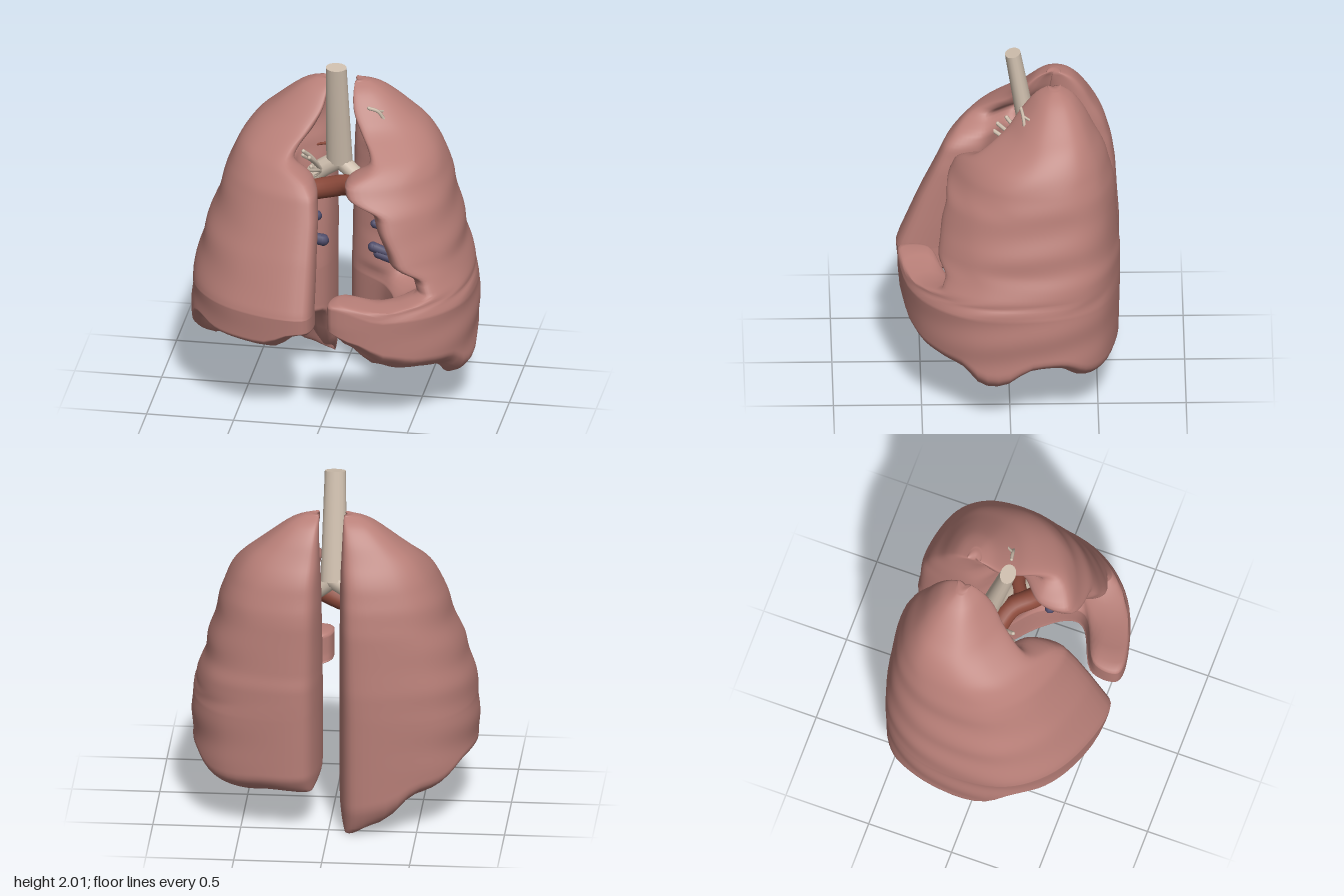
import * as THREE from 'three';
import { mergeVertices } from 'three/addons/utils/BufferGeometryUtils.js';

const V = (x, y, z) => new THREE.Vector3(x, y, z);
const { lerp, smoothstep, degToRad } = THREE.MathUtils;
const MEDIAL = 0.072;

// Cross-sections: [y, side x, back z, front z, front edge angle, edge depth, hollow depth, hilum x]
const apexSections = [
  [1.47, 0.575, -0.545, 0.23, 69, 0.8, 0.7, 0.22],
  [1.53, 0.53, -0.52, 0.13, 70, 0.75, 0.7, 0.19],
  [1.6, 0.47, -0.48, 0.01, 78, 0.65, 0.5, 0.14],
  [1.7, 0.35, -0.43, -0.08, 86, 0.65, 0.3, 0.1],
  [1.77, 0.26, -0.38, -0.14, 88, 0.7, 0.25, 0.085],
  [1.805, 0.205, -0.34, -0.18, 88, 0.7, 0.25, 0.08],
  [1.82, 0.16, -0.3, -0.22, 88, 0.7, 0.25, 0.08],
];
const leftSections = [
  [0, 0.77, -0.57, 0.57, 90, 0.76, 0.8, 0.26],
  [0.14, 0.8, -0.61, 0.61, 90, 0.75, 0.8, 0.28],
  [0.7, 0.8, -0.62, 0.62, 90, 0.76, 0.8, 0.3],
  [0.725, 0.79, -0.62, 0.61, 86, 0.77, 0.8, 0.32],
  [0.77, 0.78, -0.62, 0.58, 42, 0.86, 0.8, 0.33],
  [0.88, 0.75, -0.62, 0.52, 44, 0.86, 0.75, 0.33],
  [0.94, 0.73, -0.61, 0.49, 57, 0.78, 0.75, 0.33],
  [1.04, 0.71, -0.605, 0.46, 60, 0.78, 0.75, 0.32],
  [1.14, 0.68, -0.6, 0.43, 64, 0.75, 0.7, 0.3],
  [1.25, 0.65, -0.595, 0.39, 66, 0.7, 0.65, 0.27],
  [1.32, 0.63, -0.585, 0.34, 84, 0.6, 0.65, 0.25],
  [1.41, 0.605, -0.56, 0.29, 86, 0.6, 0.65, 0.24],
  ...apexSections,
];
const rightSections = [
  [0, 0.78, -0.57, 0.57, 90, 0.55, 0.65, 0.2],
  [0.14, 0.815, -0.61, 0.61, 90, 0.52, 0.65, 0.22],
  [0.7, 0.81, -0.62, 0.62, 90, 0.52, 0.6, 0.23],
  [0.85, 0.78, -0.62, 0.56, 90, 0.52, 0.6, 0.23],
  [1.0, 0.74, -0.61, 0.5, 90, 0.54, 0.6, 0.23],
  [1.2, 0.67, -0.6, 0.41, 90, 0.56, 0.6, 0.23],
  [1.34, 0.63, -0.58, 0.35, 89, 0.6, 0.65, 0.23],
  [1.41, 0.605, -0.56, 0.29, 84, 0.65, 0.65, 0.23],
  ...apexSections,
];
// Lower rim heights: [distance from middle, z, y]
const leftRim = [
  [0.06, 0.55, 0.64], [0.2, 0.55, 0.53], [0.35, 0.5, 0.4], [0.5, 0.4, 0.35], [0.65, 0.3, 0.34],
  [0.75, 0.1, 0.21], [0.75, -0.2, 0.34], [0.55, -0.45, 0.21], [0.2, -0.55, 0.23], [0.07, -0.35, 0.24],
  [0.15, -0.1, 0.4], [0.4, 0.25, 0.5], [0.1, 0.42, 0.64],
];
const rightRim = [
  [0.1, 0.55, 0.59], [0.35, 0.52, 0.48], [0.55, 0.4, 0.48], [0.68, 0.25, 0.54], [0.78, 0.05, 0.32],
  [0.7, -0.25, 0.36], [0.5, -0.45, 0.22], [0.3, -0.5, 0.04], [0.16, -0.48, -0.05], [0.08, -0.35, 0.08],
  [0.1, -0.1, 0.4], [0.2, 0.1, 0.52],
];

function rimHeight(rim, x, z) {
  let sum = 0, total = 0;
  for (const [px, pz, py] of rim) {
    const w = ((px - x) ** 2 + (pz - z) ** 2 + 0.011) ** -1.8;
    sum += w * py;
    total += w;
  }
  return sum / total;
}

function sectionAt(list, y) {
  const at = (v) => {
    const i = Math.max(1, list.findIndex((s) => s[0] >= v));
    const a = list[i - 1], b = list[i];
    return a.map((n, k) => lerp(n, b[k], (v - a[0]) / (b[0] - a[0])));
  };
  const d = Math.min(0.02, y, 1.82 - y);
  const rows = [at(Math.max(0, y - d)), at(y), at(Math.min(1.82, y + d))];
  return rows[1].map((_, k) => (rows[0][k] + rows[1][k] + rows[2][k]) / 3);
}

// Crescent outline: squarish back, round outer wall, front edge, hollow inner wall
function outline([, side, back, front, end, depth, hollow, hilum], count) {
  const width = side - MEDIAL, r = (front - back) / 2, zc = (front + back) / 2;
  const arc = (deg, k) => {
    const power = deg < 0 ? 0.65 : 0.92, c = Math.cos(degToRad(deg)), s = Math.sin(degToRad(deg));
    return V(MEDIAL + width * Math.abs(c) ** power * k, 0, zc + r * Math.sign(s) * Math.abs(s) ** power * k);
  };
  const pts = [];
  for (let i = 0; i < 6; i++) pts.push(arc(lerp(-88.3, end, i / 5), 1));
  pts.push(arc(end, depth), arc(end - 40, depth * hollow));
  pts.push(V(hilum, 0, back + r * 1.1), V(MEDIAL, 0, back + r * 0.72), V(MEDIAL, 0, back + r * 0.18));
  const curve = new THREE.CatmullRomCurve3(pts, true);
  return Array.from({ length: count }, (_, i) => curve.getPoint(((i + 0.5) / count - 0.5 / 11 + 1) % 1));
}

function lungGeometry(sections, rim, side) {
  const N = 88, ROWS = 110, CAP = 8, ROUND = 0.12, rings = [];
  const ringAt = (y) => {
    const ring = outline(sectionAt(sections, y), N).map((q) => {
      q.y = y < 0.7 ? lerp(rimHeight(rim, q.x, q.z), 0.7, y / 0.7) : y;
      // The left lung's front tongue curls upward
      if (side > 0) {
        q.y += 0.1 * (1 - smoothstep(q.x, 0.08, 0.38)) * smoothstep(q.z, 0.25, 0.45) * Math.exp(-(((y - 0.73) / 0.14) ** 2));
      }
      q.x *= 1 + 0.006 * Math.sin(q.y * 26 + q.z * 4) * Math.min(1, q.x * 2);
      return q;
    });
    // Round the lower rim inward
    const u = Math.max(0, 1 - y / ROUND), f = 0.4 * (1 - Math.sqrt(1 - u * u));
    return ring.map((p, i) => {
      const o = ring[N - 1 - i];
      return V(lerp(p.x, (p.x + o.x) / 2, f), p.y, lerp(p.z, (p.z + o.z) / 2, f));
    });
  };
  // Close a ring towards its own middle line
  const capRing = (ring, f, lift) => ring.map((p, i) => {
    const mid = p.clone().add(ring[N - 1 - i]).multiplyScalar(0.5);
    const q = p.clone().lerp(mid, f);
    q.y = lerp(p.y, mid.y + lift, f * f * (3 - 2 * f));
    return q;
  });
  const base = ringAt(0), top = ringAt(1.82);
  for (let i = CAP; i > 0; i--) rings.push(capRing(base, i / CAP, 0.1));
  for (let i = 0; i <= ROWS; i++) rings.push(ringAt(1.82 * i / ROWS));
  for (let i = 1; i <= 4; i++) rings.push(capRing(top, i / 4, 0.006));

  const pos = [], index = [];
  rings.forEach((ring) => ring.forEach((p) => pos.push(p.x * side, p.y, p.z)));
  for (let r = 0; r < rings.length - 1; r++) {
    for (let i = 0; i < N; i++) {
      const a = r * N + i, b = r * N + (i + 1) % N, c = a + N, d = b + N;
      if (side > 0) index.push(a, c, b, b, c, d);
      else index.push(a, b, c, b, d, c);
    }
  }
  let g = new THREE.BufferGeometry();
  g.setAttribute('position', new THREE.Float32BufferAttribute(pos, 3));
  g.setIndex(index);
  g = mergeVertices(g, 1e-4);
  g.computeVertexNormals();
  return g;
}

export function createModel() {
  const group = new THREE.Group();
  const mat = (name, color) => new THREE.MeshStandardMaterial({ name, color });
  const tissue = mat('lung pink', 0xb87f78);
  const cartilage = mat('airway beige', 0xcfbfae);
  const artery = mat('artery red', 0x8c4a3b);
  const vein = mat('vein blue', 0x4e4b69);
  tissue.side = THREE.DoubleSide;

  const add = (name, geometry, material) => {
    const mesh = new THREE.Mesh(geometry, material);
    mesh.name = name;
    group.add(mesh);
    return mesh;
  };
  // Round vessel along points, with rounded ends
  const vessel = (name, pts, radius, material, sides = 12) => {
    const path = new THREE.CatmullRomCurve3(pts.map((p) => V(...p)));
    add(name, new THREE.TubeGeometry(path, 16, radius, sides), material);
    for (const p of [pts[0], pts[pts.length - 1]]) {
      add(name + 'End', new THREE.SphereGeometry(radius, sides, 8), material).position.set(...p);
    }
  };

  add('leftLung', lungGeometry(leftSections, leftRim, 1), tissue);
  add('rightLung', lungGeometry(rightSections, rightRim, -1), tissue);

  // Windpipe, slightly flattened, and main airways
  const from = V(0, 1.36, -0.135), to = V(0, 1.992, -0.025);
  const trachea = add('trachea', new THREE.CylinderGeometry(0.06, 0.076, from.distanceTo(to), 16), cartilage);
  trachea.position.copy(from).lerp(to, 0.5);
  trachea.quaternion.setFromUnitVectors(V(0, 1, 0), to.clone().sub(from).normalize());
  trachea.scale.z = 0.75;
  vessel('leftBronchus', [[0, 1.37, -0.135], [0.13, 1.26, -0.1], [0.27, 1.12, -0.02], [0.4, 0.97, 0.05]], 0.048, cartilage);
  vessel('rightBronchus', [[0, 1.37, -0.135], [-0.12, 1.29, -0.14], [-0.28, 1.15, -0.12]], 0.055, cartilage);

  // Fine airway branches fanning out at each hilum: [root, centre of the tips]
  const fans = [
    [[-0.1, 1.31, -0.1], [-0.17, 1.39, 0.02]],
    [[-0.18, 1.08, -0.06], [-0.18, 0.98, 0.1]],
    [[0.32, 1.03, -0.02], [0.4, 0.96, 0.04]],
  ];
  for (const [[x, y, z], [tx, ty, tz]] of fans) {
    for (let i = 0; i < 7; i++) {
      const a = i * 0.9, dx = 0.03 * Math.sin(a * 2), dy = 0.08 * Math.sin(a), dz = 0.06 * Math.cos(a);
      vessel('airwayBranch', [
        [x, y, z],
        [(x + tx + dx) / 2, (y + ty + dy * 1.4) / 2, (z + tz + dz * 1.4) / 2],
        [tx + dx, ty + dy, tz + dz],
      ], 0.012, cartilage, 6);
    }
  }
  vessel('upperTwig', [[0.18, 1.73, -0.07], [0.23, 1.71, -0.08], [0.27, 1.65, -0.09]], 0.01, cartilage, 6);
  vessel('upperTwigFork', [[0.23, 1.71, -0.08], [0.26, 1.69, -0.13]], 0.008, cartilage, 6);
  vessel('lowerTwig', [[0.52, 0.85, 0.16], [0.52, 0.76, 0.2]], 0.01, cartilage, 6);

  // Arched artery and its branch
  vessel('artery', [[-0.2, 1.18, -0.08], [-0.05, 1.22, -0.07], [0.07, 1.26, -0.03], [0.16, 1.26, 0.06], [0.22, 1.24, 0.1], [0.26, 1.21, 0.09]], 0.06, artery, 16);
  vessel('arteryBranch', [[0.15, 1.26, 0], [0.24, 1.24, -0.05], [0.34, 1.2, -0.06]], 0.04, artery);
  vessel('smallArtery', [[-0.18, 1.42, -0.18], [-0.12, 1.43, -0.19], [-0.05, 1.44, -0.2]], 0.008, artery, 6);

  // Veins at the hilum
  for (const [x, y, r] of [[0.24, 0.965, 0.03], [0.27, 0.925, 0.028], [0.25, 1.11, 0.025]]) {
    vessel('leftVein', [[x, y, 0.14], [x + 0.07, y - 0.03, 0.13], [x + 0.14, y - 0.06, 0.11]], r, vein, 8);
  }
  vessel('leftVeinBranch', [[0.29, 1.12, 0.12], [0.33, 1.08, 0.13], [0.37, 1.01, 0.12]], 0.02, vein, 8);
  vessel('rightVein', [[-0.075, 0.91, -0.02], [-0.16, 0.92, -0.03], [-0.28, 0.96, -0.05]], 0.035, vein, 8);
  vessel('rightUpperVein', [[-0.11, 1.06, -0.02], [-0.18, 1.06, -0.03], [-0.28, 1.08, -0.05]], 0.03, vein, 8);
  return group;
}
